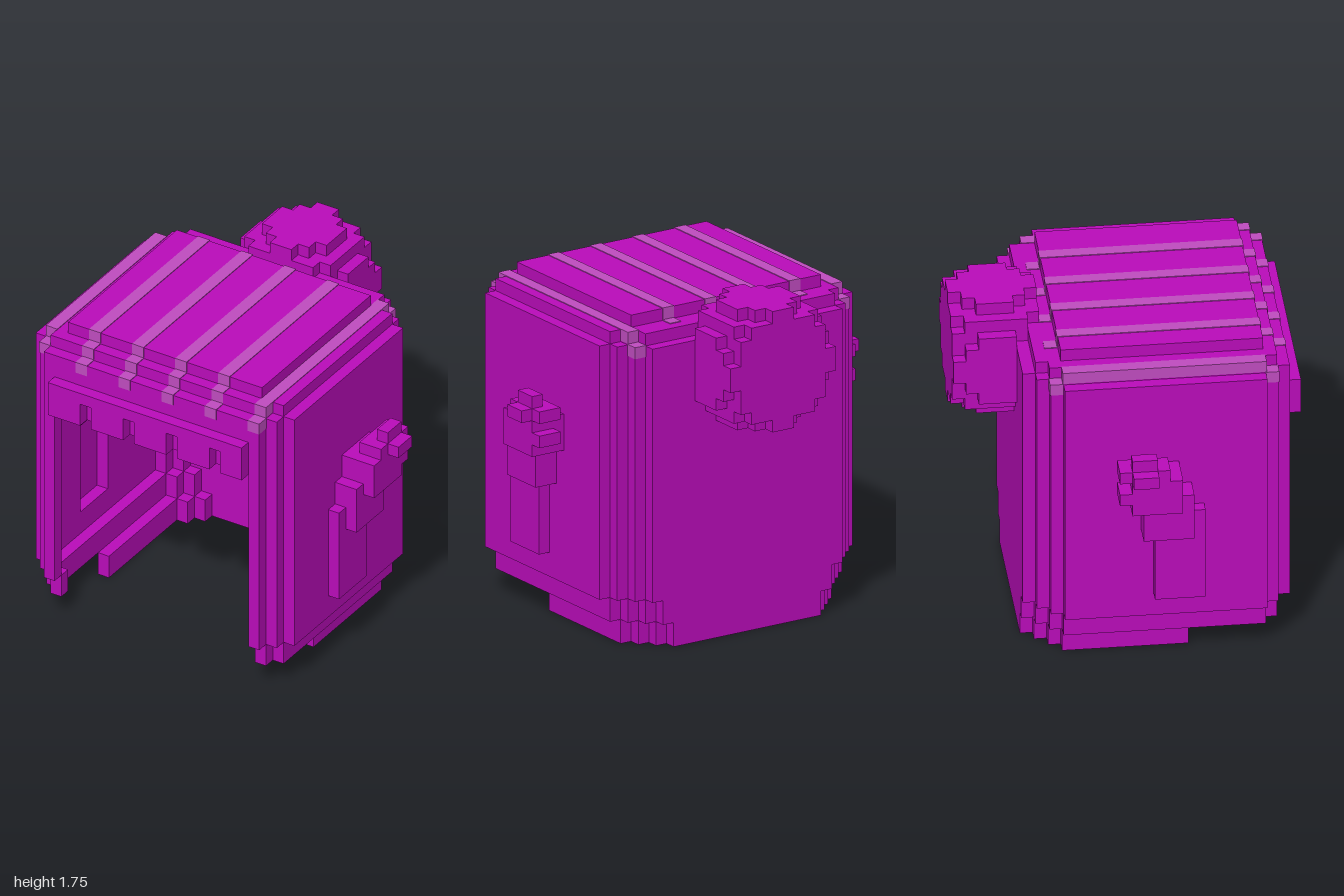
import * as THREE from 'three';
import { mergeGeometries } from 'three/addons/utils/BufferGeometryUtils.js';

const U = 0.0625; // one block

// Box from block coordinates; z is counted from the rearmost block
function block(x0, x1, y0, y1, k0, k1) {
  const g = new THREE.BoxGeometry((x1 - x0) * U, (y1 - y0) * U, (k1 - k0) * U);
  g.translate((x0 + x1) * U / 2, (y0 + y1) * U / 2, ((k0 + k1) / 2 - 13.5) * U);
  return g;
}

// The same box on the left and right
function pair(x0, x1, y0, y1, k0, k1) {
  return [block(x0, x1, y0, y1, k0, k1), block(-x1, -x0, y0, y1, k0, k1)];
}

export function createModel() {
  const model = new THREE.Group();
  model.name = 'blockHelmet';
  const magenta = new THREE.MeshStandardMaterial({ color: 0xba0cba });
  magenta.name = 'magenta';
  const paleMagenta = new THREE.MeshStandardMaterial({ color: 0xc04cc0 });
  paleMagenta.name = 'pale magenta';

  const add = (name, boxes, material = magenta) => {
    const mesh = new THREE.Mesh(mergeGeometries(boxes), material);
    mesh.name = name;
    model.add(mesh);
  };

  // Side walls, each with an opening behind the wing panel
  add('sideWalls', [
    ...pair(11, 12, 4, 6, 8, 24), ...pair(11, 12, 14, 25, 8, 24),
    ...pair(11, 12, 6, 14, 8, 15), ...pair(11, 12, 6, 14, 19, 24),
  ]);

  // Stepped corner posts and back wall
  add('cornerPosts', [
    ...pair(10, 11, 4, 25, 7, 8), ...pair(9, 10, 4, 25, 6, 7),
    ...pair(10, 11, 4, 25, 24, 25), ...pair(9, 10, 4, 25, 25, 26),
  ]);
  add('backWall', [block(-9, 9, 4, 25, 5, 6)]);

  // Lower rims, drawn in one block at each step
  add('upperRim', [
    ...pair(10, 11, 2, 4, 8, 24), ...pair(9, 10, 2, 4, 7, 8),
    ...pair(9, 10, 2, 4, 24, 25), ...pair(8, 9, 2, 4, 6, 7),
    block(-8, 8, 2, 4, 5, 6),
  ]);
  add('lowerRim', [
    ...pair(9, 10, 0, 2, 8, 18), ...pair(8, 9, 0, 2, 7, 8),
    ...pair(7, 8, 0, 2, 6, 7), block(-7, 7, 0, 2, 5, 6),
  ]);

  // Roof and the stepped ring around it
  add('roof', [block(-9, 9, 26, 27, 8, 24)]);
  add('roofRing', [
    ...pair(10, 11, 25, 26, 8, 24),
    ...pair(9, 10, 25, 26, 7, 25),
    block(-9, 9, 25, 26, 6, 8), block(-9, 9, 25, 26, 24, 25),
  ]);

  // Forehead wall and the notched brow in front of it
  add('forehead', [block(-9, 9, 20, 25, 25, 26)]);
  const brow = [block(-9, 9, 22, 23, 26, 27)];
  for (const [a, b] of [[-9, -6], [-5, -2], [-1, 2], [3, 6], [7, 9]]) {
    brow.push(block(a, b, 20, 22, 26, 27));
  }
  add('brow', brow);

  // Side wings, climbing outward and backward
  add('wings', [
    ...pair(12, 13, 6, 14, 15, 19),
    ...pair(12, 14, 12, 16, 14, 18),
    ...pair(12, 15, 15, 18, 13, 17),
    ...pair(13, 15, 16, 17, 12, 13),
    ...pair(13, 15, 18, 19, 12, 16),
    ...pair(15, 16, 18, 19, 13, 15),
    ...pair(14, 15, 19, 20, 13, 15),
  ]);

  // Hair bun: a ball of blocks, cut flat at its widest
  const bun = [];
  for (let k = 0; k < 7; k++) {
    for (let y = 18; y < 28; y++) {
      const room = 30 - (k - 3) ** 2 - (y - 22.5) ** 2;
      const half = Math.min(5, Math.floor(Math.sqrt(Math.max(room, 0)) + 0.5));
      if (half > 0) bun.push(block(-half, half, y, y + 1, k, k + 1));
    }
  }
  add('hairBun', bun);

  // Pale stripes laid over the roof steps
  const e = 0.06;
  const stripe = (x, y0, y1, k0, k1) =>
    block(x - e / 2, x + 1 + e / 2, y0, y1 + e, k0 - e, k1 + e);
  const stripes = [];
  for (const x of [-7, -3, 1, 5]) {
    stripes.push(
      stripe(x, 26.1, 27, 8, 24), stripe(x, 25.9, 26, 7, 8),
      stripe(x, 25.1, 26, 24, 25), stripe(x, 24.1, 25, 25, 26),
    );
  }
  for (const [x, s] of [[-11, 1], [9, 0]]) {
    stripes.push(
      stripe(x, 25.1, 26, 7 + s, 25 - s),
      stripe(x, 24.1, 25, 25 - s, 26 - s), stripe(x, 24.1, 25, 6 + s, 7 + s),
    );
  }
  add('roofStripes', stripes, paleMagenta);

  return model;
}
